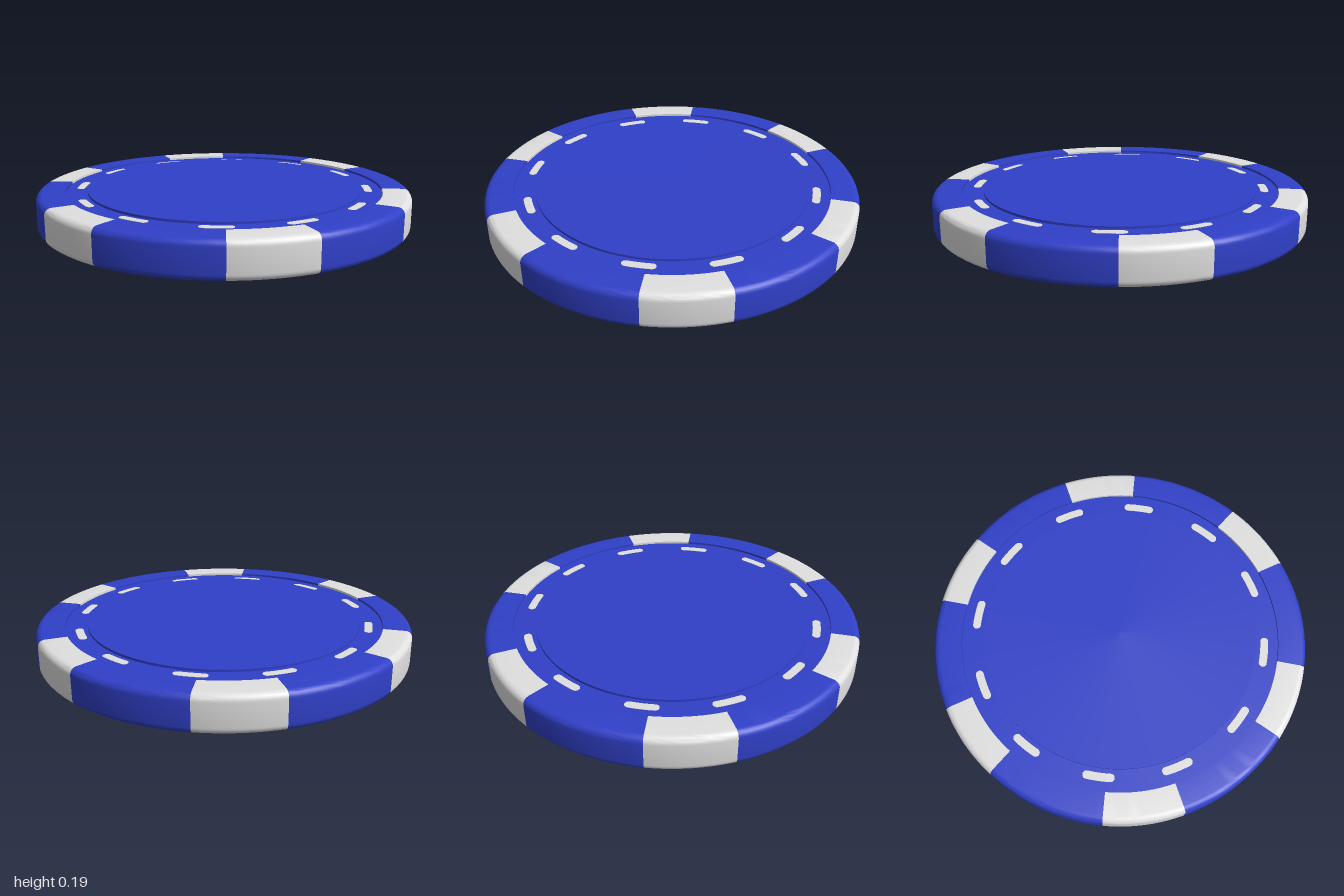
import * as THREE from 'three';
import { toCreasedNormals } from 'three/addons/utils/BufferGeometryUtils.js';

const H = 0.19;         // thickness
const STEP = 0.012;     // depth of the ring channel
const R_DISC = 0.733;   // raised centre disc
const R_RIM = 0.85;     // inner edge of the rim
const FILLET = 0.035;   // rounded outer edge
const rad = THREE.MathUtils.degToRad;

const blue = new THREE.MeshStandardMaterial({ color: 0x3040c8 });
blue.name = 'blue';
const white = new THREE.MeshStandardMaterial({ color: 0xe0e0e0 });
white.name = 'white';

function addMesh(parent, name, geometry, material) {
  const mesh = new THREE.Mesh(geometry, material);
  mesh.name = name;
  parent.add(mesh);
  return mesh;
}

function lathe(points, segments, start = 0, length = Math.PI * 2) {
  return toCreasedNormals(new THREE.LatheGeometry(points, segments, start, length), 0.6);
}

// Rim cross-section with rounded outer corners and short inner walls
function rimProfile() {
  const points = [new THREE.Vector2(R_RIM, STEP), new THREE.Vector2(R_RIM, 0)];
  const corner = (cy, from) => {
    for (let i = 0; i <= 6; i++) {
      const a = from + (i / 6) * Math.PI / 2;
      points.push(new THREE.Vector2(1 - FILLET + FILLET * Math.cos(a), cy + FILLET * Math.sin(a)));
    }
  };
  corner(FILLET, -Math.PI / 2);
  corner(H - FILLET, 0);
  points.push(new THREE.Vector2(R_RIM, H), new THREE.Vector2(R_RIM, H - STEP));
  return points;
}

// Curved bar with round ends, lying along a circle
function dashGeometry(depth) {
  const r = 0.777, w = 0.021, half = 0.079;
  const shape = new THREE.Shape();
  shape.absarc(0, 0, r + w, -half, half, false);
  shape.absarc(r * Math.cos(half), r * Math.sin(half), w, half, half + Math.PI, false);
  shape.absarc(0, 0, r - w, half, -half, true);
  shape.absarc(r * Math.cos(half), -r * Math.sin(half), w, Math.PI - half, Math.PI * 2 - half, false);
  const geometry = new THREE.ExtrudeGeometry(shape, { depth, bevelEnabled: false, curveSegments: 10 });
  return geometry.rotateX(-Math.PI / 2);
}

export function createModel() {
  const chip = new THREE.Group();
  chip.name = 'chip';

  // Core: raised discs with a channel floor around them on both faces
  const core = [
    [0, 0], [R_DISC, 0], [R_DISC, STEP], [R_RIM + 0.01, STEP],
    [R_RIM + 0.01, H - STEP], [R_DISC, H - STEP], [R_DISC, H], [0, H],
  ].map(([x, y]) => new THREE.Vector2(x, y));
  addMesh(chip, 'core', lathe(core, 128), blue);

  // Rim: six white blocks with blue spans between them
  const rim = new THREE.Group();
  rim.name = 'rim';
  chip.add(rim);
  const profile = rimProfile();
  const block = rad(24), span = rad(36);
  for (let i = 0; i < 6; i++) {
    const start = rad(26.7 + i * 60) - block / 2;
    addMesh(rim, 'rimBlock', lathe(profile, 10, start, block), white);
    addMesh(rim, 'rimSpan', lathe(profile, 15, start + block, span), blue);
  }

  // Twelve thin dashes in the channel of each face
  const dashes = new THREE.Group();
  dashes.name = 'dashes';
  chip.add(dashes);
  const plate = 0.004;
  const geometry = dashGeometry(plate);
  for (let i = 0; i < 12; i++) {
    for (const y of [STEP - plate / 2, H - STEP - plate / 2]) {
      const dash = addMesh(dashes, 'dash', geometry, white);
      dash.position.y = y;
      dash.rotation.y = -rad(18.3 + i * 30);
    }
  }
  return chip;
}
